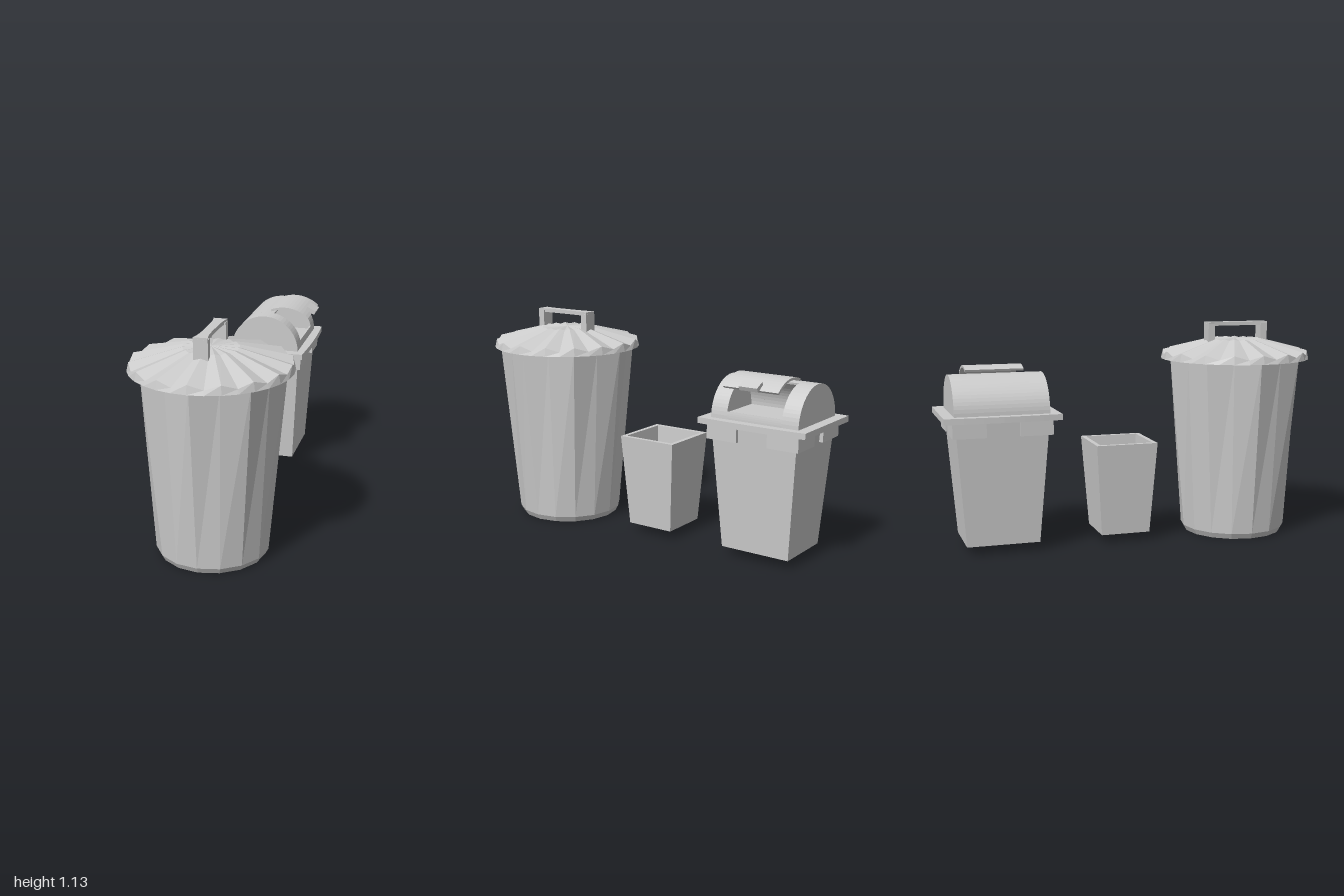
import * as THREE from 'three';

const mat = new THREE.MeshStandardMaterial({ color: 0xcccccc, flatShading: true, side: THREE.DoubleSide });

function add(parent, name, geometry, x = 0, y = 0, z = 0) {
  const mesh = new THREE.Mesh(geometry, mat);
  mesh.name = name;
  mesh.position.set(x, y, z);
  parent.add(mesh);
  return mesh;
}

function group(parent, name, z) {
  const g = new THREE.Group();
  g.name = name;
  g.position.z = z;
  parent.add(g);
  return g;
}

// Skin through closed rings; each row maps a step index to [radiusX, y, radiusZ]
function loft(rows, n, offset = 0) {
  const pos = [], index = [];
  rows.forEach((row, j) => {
    for (let i = 0; i < n; i++) {
      const a = offset + (i / n) * Math.PI * 2;
      const [rx, y, rz = rx] = row(i);
      pos.push(Math.sin(a) * rx, y, Math.cos(a) * rz);
      if (j === rows.length - 1) continue;
      const p = j * n + i, q = j * n + ((i + 1) % n);
      index.push(p, q, q + n, p, q + n, p + n);
    }
  });
  const g = new THREE.BufferGeometry();
  g.setAttribute('position', new THREE.Float32BufferAttribute(pos, 3));
  g.setIndex(index);
  g.computeVertexNormals();
  return g;
}

// Rectangular loft from rows of [halfX, y, halfZ]
function boxLoft(rows) {
  return loft(rows.map(([x, y, z]) => () => [x * Math.SQRT2, y, z * Math.SQRT2]), 4, Math.PI / 4);
}

// Curved sheet: ring sector in the xy plane, extruded from z0 to z1 (angles in degrees)
function arcSheet(r, from, to, thickness, z0, z1) {
  const a = THREE.MathUtils.degToRad(from), b = THREE.MathUtils.degToRad(to);
  const s = new THREE.Shape();
  s.absarc(0, 0, r, a, b, false);
  s.absarc(0, 0, r - thickness, b, a, true);
  const steps = Math.max(2, Math.round((to - from) / 11));
  return new THREE.ExtrudeGeometry(s, { depth: z1 - z0, bevelEnabled: false, curveSegments: steps }).translate(0, 0, z0);
}

// Round fluted can with a ribbed lid and a handle
function roundCan(parent) {
  const can = group(parent, 'roundCan', 0.6);
  const top = (i) => [i % 2 ? 0.338 : 0.366, 0.955];
  add(can, 'canBody', loft([() => [0, 0], () => [0.265, 0], () => [0.281, 0.03], top], 16));

  const ribEdge = (i) => [0.386, i % 2 ? 0.962 : 0.984];
  add(can, 'lid', loft([
    () => [0.375, 0.945], () => [0.396, 0.94], ribEdge,
    (i) => [0.135, i % 2 ? 1.04 : 1.047], () => [0, 1.047],
  ], 32));

  const bar = new THREE.BoxGeometry(0.07, 0.02, 0.335, 1, 1, 10);
  const p = bar.attributes.position;
  for (let i = 0; i < p.count; i++) {
    const t = Math.abs(p.getZ(i)) / 0.1675;
    p.setX(i, p.getX(i) * (0.65 + 0.35 * t ** 4));
  }
  bar.computeVertexNormals();
  add(can, 'handleBar', bar, 0, 1.125, 0.005);
  for (const s of [-1, 1]) {
    add(can, 'handleLeg', new THREE.BoxGeometry(0.07, 0.1, 0.036), 0, 1.075, 0.005 + s * 0.15);
  }
}

// Small open square bin
function smallBin(parent) {
  const bin = group(parent, 'smallBin', -0.053);
  add(bin, 'smallBinShell', boxLoft([
    [0, 0.045, 0], [0.13, 0.045, 0.13], [0.163, 0.525, 0.163],
    [0.14, 0.525, 0.14], [0.112, 0.065, 0.112], [0, 0.065, 0],
  ]));
}

// Rectangular bin with a domed top and a raised flap
function domedBin(parent) {
  const bin = group(parent, 'domedBin', -0.705);
  add(bin, 'binBody', boxLoft([
    [0, 0.045, 0], [0.157, 0.045, 0.187], [0.193, 0.685, 0.237], [0, 0.685, 0],
  ]));

  // Rim plate with slightly bowed long sides
  const s = new THREE.Shape();
  s.moveTo(-0.226, -0.295);
  s.lineTo(0.226, -0.295);
  s.quadraticCurveTo(0.246, 0, 0.226, 0.295);
  s.lineTo(-0.226, 0.295);
  s.quadraticCurveTo(-0.246, 0, -0.226, -0.295);
  const rim = new THREE.ExtrudeGeometry(s, { depth: 0.03, bevelEnabled: false, curveSegments: 6 });
  add(bin, 'rim', rim.rotateX(-Math.PI / 2), 0, 0.68, 0);

  // Corner blocks under the rim
  for (const x of [-1, 1]) for (const z of [-1, 1]) {
    add(bin, 'cornerBlock', new THREE.BoxGeometry(0.165, 0.08, 0.168), x * 0.1265, 0.645, z * 0.168);
  }

  // Dome with an opening on the left side
  const R = 0.19, T = 0.01, y = 0.71, end = 0.24, open = 0.15;
  add(bin, 'domeRear', arcSheet(R, 0, 180, T, -end, -open), 0, y);
  add(bin, 'domeFront', arcSheet(R, 0, 180, T, open, end), 0, y);
  add(bin, 'domeBack', arcSheet(R, 80, 180, T, -open, open), 0, y);
  add(bin, 'openingSill', arcSheet(R, 0, 12, T, -open, open), 0, y);
  for (const z of [-end, end - T]) add(bin, 'domeEnd', arcSheet(R - 0.001, 0, 180, R - 0.002, z, z + T), 0, y);

  // Raised flap and its finger tab
  add(bin, 'flap', arcSheet(0.204, 48, 113, 0.012, -open, open), 0.092, 0.73);
  const tab = add(bin, 'flapTab', new THREE.BoxGeometry(0.055, 0.022, 0.1), 0.223, 0.898, 0);
  tab.rotation.z = -0.45;
}

export function createModel() {
  const model = new THREE.Group();
  model.name = 'trashBins';
  roundCan(model);
  smallBin(model);
  domedBin(model);
  return model;
}
